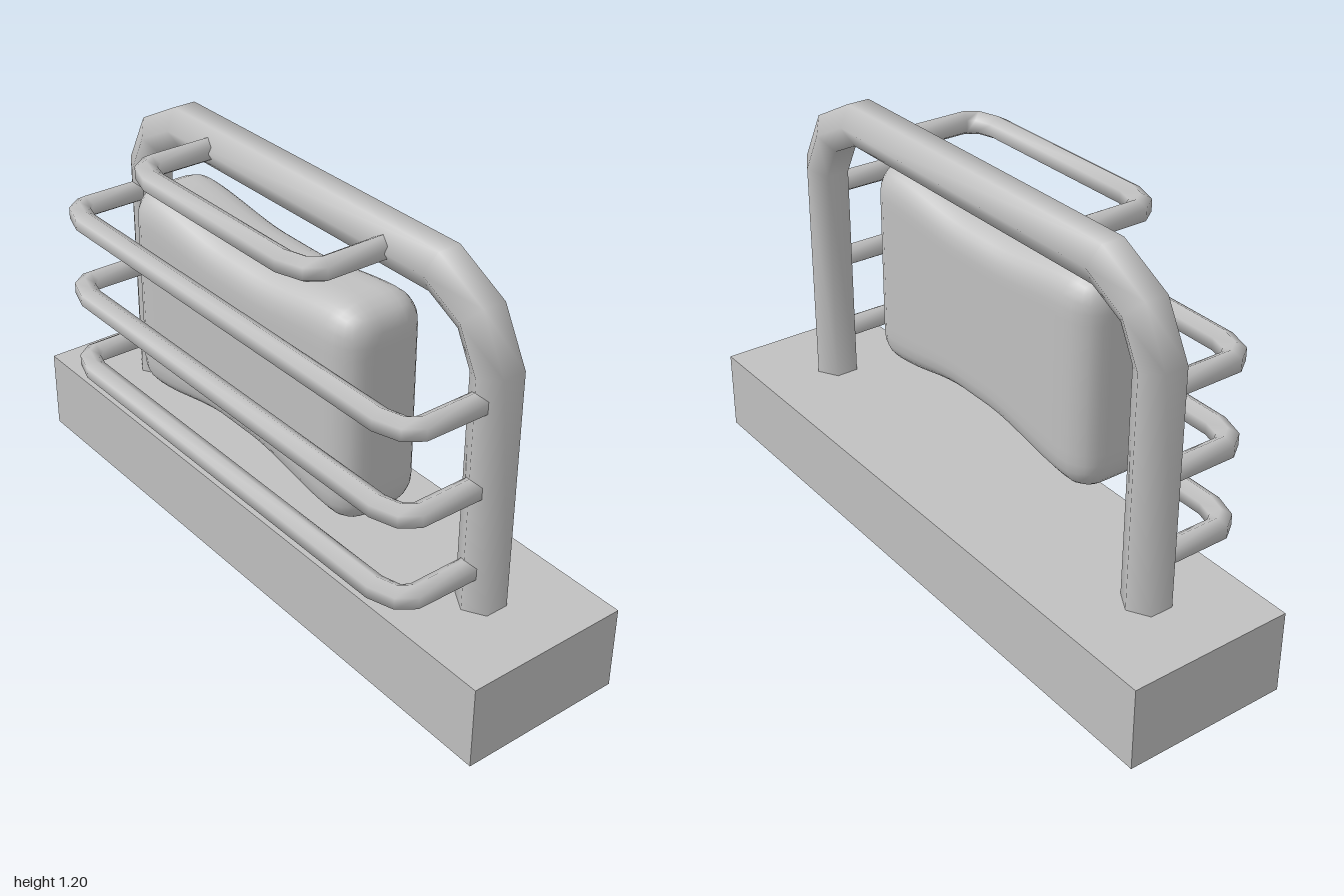
import * as THREE from 'three';
import { mergeVertices } from 'three/addons/utils/BufferGeometryUtils.js';

const SIDES = 6;

// Sweeps a six-sided ring along points lying in one plane; ring corners point along the plane normal.
function sweptBar(points, planeNormal, radius) {
  const positions = [], index = [];
  const last = points.length - 1;
  points.forEach((p, i) => {
    const before = p.clone().sub(points[Math.max(i - 1, 0)]).normalize();
    const after = points[Math.min(i + 1, last)].clone().sub(p).normalize();
    const tangent = before.add(after).normalize();
    const side = tangent.clone().cross(planeNormal);
    for (let j = 0; j < SIDES; j++) {
      const a = (j / SIDES) * Math.PI * 2;
      const v = p.clone()
        .addScaledVector(planeNormal, Math.cos(a) * radius)
        .addScaledVector(side, Math.sin(a) * radius);
      positions.push(v.x, v.y, v.z);
      if (i < last) {
        const k = (j + 1) % SIDES, r0 = i * SIDES, r1 = r0 + SIDES;
        index.push(r0 + j, r0 + k, r1 + j, r0 + k, r1 + k, r1 + j);
      }
    }
  });
  const geometry = new THREE.BufferGeometry();
  geometry.setAttribute('position', new THREE.Float32BufferAttribute(positions, 3));
  geometry.setIndex(index);
  geometry.computeVertexNormals();
  return geometry;
}

// Adds the mirrored half (x -> -x) of a path.
function mirrorPath(half) {
  return [...half, ...half.slice().reverse().map((p) => new THREE.Vector3(-p.x, p.y, p.z))];
}

// Rounded block whose top and bottom edges curve in towards the middle.
function cushionGeometry(w, h, d, r) {
  const geometry = new THREE.BoxGeometry(w, h, d, 28, 20, 10);
  geometry.deleteAttribute('normal');
  geometry.deleteAttribute('uv');
  const merged = mergeVertices(geometry);
  const pos = merged.attributes.position;
  const inner = new THREE.Vector3(w / 2 - r, h / 2 - r, d / 2 - r);
  const p = new THREE.Vector3(), core = new THREE.Vector3();
  for (let i = 0; i < pos.count; i++) {
    p.fromBufferAttribute(pos, i);
    core.copy(p).clamp(inner.clone().negate(), inner);
    p.sub(core).normalize().multiplyScalar(r).add(core);
    const dip = 1 - THREE.MathUtils.smoothstep(Math.abs(p.x), 0.06, 0.42);
    p.y -= (p.y > 0 ? 0.037 : 0.055) * dip * (p.y / (h / 2));
    pos.setXYZ(i, p.x, p.y, p.z);
  }
  merged.computeVertexNormals();
  return merged;
}

export function createModel() {
  const group = new THREE.Group();
  const grey = new THREE.MeshStandardMaterial({ color: 0xc0c0c0 });
  grey.name = 'plain grey';
  const V = (x, y, z) => new THREE.Vector3(x, y, z);

  const add = (name, geometry) => {
    const mesh = new THREE.Mesh(geometry, grey);
    mesh.name = name;
    group.add(mesh);
    return mesh;
  };

  // Base block
  add('base', new THREE.BoxGeometry(2, 0.25, 0.5)).position.set(0, 0.125, -0.035);

  // Arched main frame
  const fz = -0.035;
  const frameHalf = [V(0.75, 0.23, fz), V(0.75, 0.945, fz), V(0.684, 1.07, fz), V(0.547, 1.14, fz)];
  add('frame', sweptBar(mirrorPath(frameHalf), V(0, 0, 1), 0.07));

  // Guard rails: three wide ones and a short one on top
  const rails = [
    ['lowerRail', 0.75, 0.375],
    ['middleRail', 0.75, 0.625],
    ['upperRail', 0.75, 0.875],
    ['topRail', 0.375, 1.14],
  ];
  for (const [name, x, y] of rails) {
    const half = [V(x, y, -0.02), V(x, y, 0.2), V(x - 0.025, y, 0.235), V(x - 0.09, y, 0.255)];
    add(name, sweptBar(mirrorPath(half), V(0, 1, 0), 0.035));
  }

  // Padded block behind the rails
  add('cushion', cushionGeometry(1, 0.64, 0.265, 0.09)).position.set(0, 0.73, 0.0825);

  return group;
}
